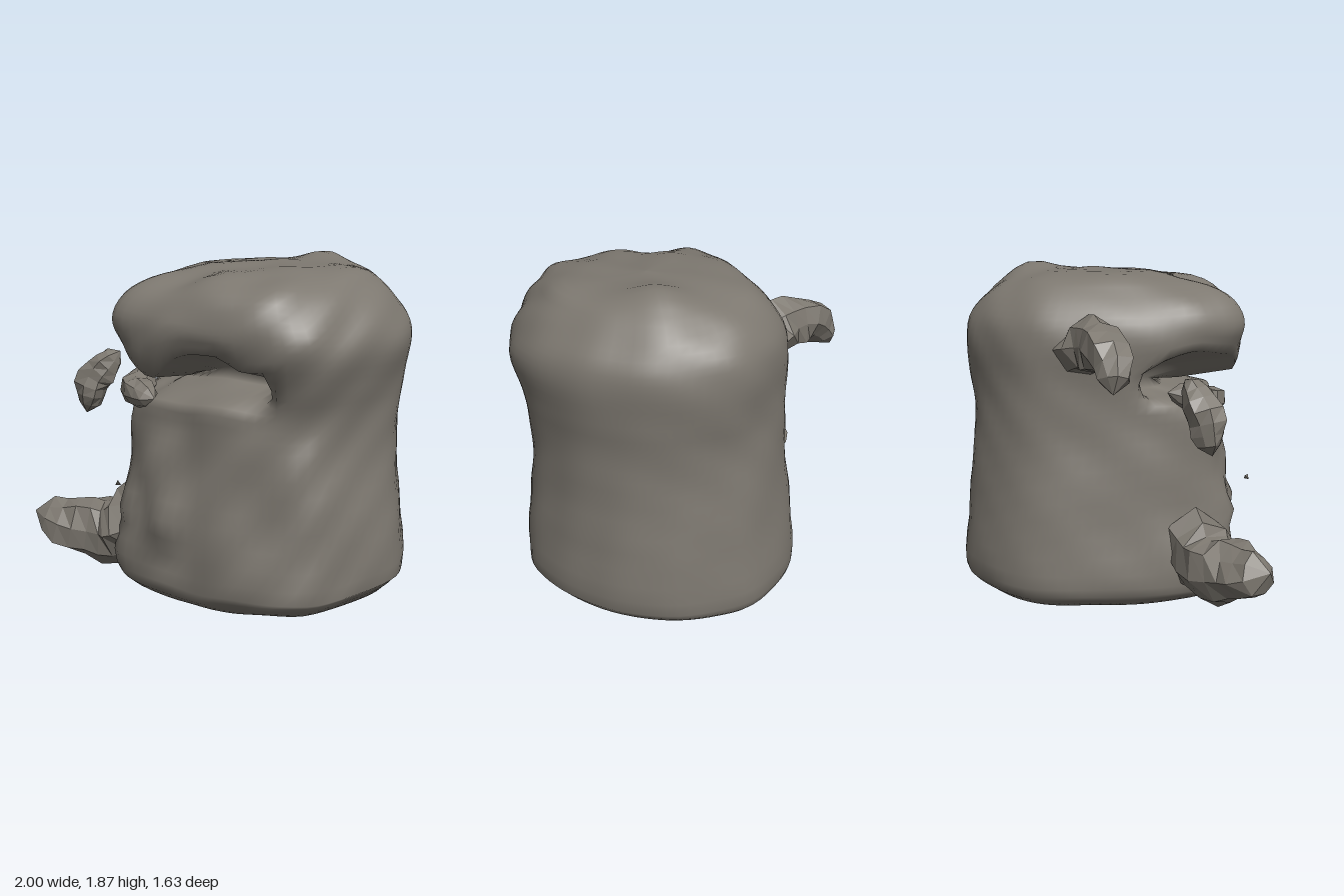
import * as THREE from 'three';

const { smoothstep: smooth, lerp } = THREE.MathUtils;
const material = (flat) => new THREE.MeshStandardMaterial({ color: 0x7d7870, flatShading: flat, side: THREE.DoubleSide });
const vectors = (points) => points.map((p) => new THREE.Vector3(...p));

// Repeatable lumps
const lump = (x, y, z) =>
  0.6 * Math.sin(7 * x + 3 * y) * Math.sin(6 * y - 4 * z) + 0.5 * Math.sin(13 * z + 11 * y) * Math.sin(15 * x - 8 * y);
const bump = (x, y, cx, cy, r) => Math.exp(-((x - cx) ** 2 + (y - cy) ** 2) / (r * r));

// Skin consecutive closed rings of equal length
function skin(name, rings, flat) {
  const n = rings[0].length, index = [];
  for (let j = 0; j < rings.length - 1; j++) {
    for (let i = 0; i < n; i++) {
      const a = j * n + i, b = j * n + (i + 1) % n;
      index.push(a, a + n, b, b, a + n, b + n);
    }
  }
  const geo = new THREE.BufferGeometry();
  geo.setAttribute('position', new THREE.Float32BufferAttribute(rings.flat(2), 3));
  geo.setIndex(index);
  geo.computeVertexNormals();
  const mesh = new THREE.Mesh(geo, material(flat));
  mesh.name = name;
  return mesh;
}

// Plan outline, scaled to -1..1: round at the back and one side, squarer at the front
const outline = new THREE.CatmullRomCurve3(vectors([
  [1, 0, 0], [0.92, 0, 0.37], [0.71, 0, 0.78], [0.34, 0, 0.94], [-0.12, 0, 1], [-0.84, 0, 0.93],
  [-1, 0, 0.58], [-1, 0, 0], [-0.88, 0, -0.6], [-0.4, 0, -0.97], [-0.1, 0, -1], [0.24, 0, -0.94],
  [0.62, 0, -0.71], [0.88, 0, -0.38],
]), true).getSpacedPoints(80).slice(0, 80);

// Sample levels [y, x min, x max, z min, z max] along smooth side profiles
function sampleLevels(levels, perSpan) {
  const curve = (lo, hi) => new THREE.CatmullRomCurve3(
    vectors(levels.map((l) => [l[lo], l[0], l[hi]])), false, 'catmullrom');
  const steps = (levels.length - 1) * perSpan;
  const xs = curve(1, 2).getPoints(steps), zs = curve(3, 4).getPoints(steps);
  return xs.map((p, i) => ({ y: p.y, x0: p.x, x1: p.z, z0: zs[i].x, z1: zs[i].z }));
}

const inner = sampleLevels([
  [1.56, 0.25, 0.25, -0.21, -0.21],
  [1.42, -0.24, 0.78, -0.58, 0.12],
  [1.1, -0.34, 0.8, -0.6, 0.22],
  [0.92, -0.36, 0.8, -0.6, 0.54],
  [0.07, -0.39, 0.82, -0.63, 0.57],
], 3);

const outer = sampleLevels([
  [0.01, -0.49, 0.9, -0.71, 0.68],
  [0.13, -0.57, 0.98, -0.81, 0.76],
  [0.5, -0.53, 0.96, -0.78, 0.73],
  [0.85, -0.49, 0.925, -0.745, 0.7],
  [1.08, -0.48, 0.93, -0.735, 0.68],
  [1.25, -0.48, 0.96, -0.75, 0.73],
  [1.45, -0.5, 1, -0.765, 0.81],
  [1.6, -0.47, 0.94, -0.73, 0.8],
  [1.73, -0.36, 0.82, -0.61, 0.69],
  [1.81, -0.2, 0.68, -0.42, 0.38],
  [1.845, 0.25, 0.25, -0.02, -0.02],
], 4);

// Wavy lower edge of the lip above the mouth
const lipEdge = (x) => 0.07 - 0.15 * bump(x, 0, -0.1, 0, 0.18) - 0.07 * smooth(x, 0.3, 0.5);

function bodyRing({ y: level, x0, x1, z0, z1 }, isOuter) {
  const depth = isOuter ? smooth(level, 1.11, 1.24) * (1 - smooth(level, 1.27, 1.35)) : 0;
  const lip = isOuter ? smooth(level, 1.22, 1.33) * (1 - smooth(level, 1.36, 1.58)) : 0;
  return outline.map(({ x: u, z: w }) => {
    // The front corner is trimmed, more so inside
    const trim = 1 - (isOuter ? 0.07 : 0.17) * Math.max(0, -u) * Math.max(0, w);
    let x = lerp(x0, x1, (u * trim + 1) / 2), z = lerp(z0, z1, (w * trim + 1) / 2);
    // The mouth cuts into the front and round that corner
    const front = smooth(z, 0.12, 0.5) * (1 - smooth(x, 0.42, 0.6));
    let y = level + lip * lipEdge(x) * front;
    if (level < 0.1) y += 0.04 * Math.max(0, x);
    const rough = 0.022 * lump(x, y, z) * (0.5 + 0.7 * smooth(z, 0, 0.6));
    z -= 0.42 * depth * front;
    x += 0.17 * depth * front * smooth(-x, 0.15, 0.45);
    if (isOuter && w > 0.5) z += 0.07 * bump(x, y, 0, 0.47, 0.13) + 0.07 * bump(x, y, -0.34, 0.5, 0.1);
    if (level > 1.72) y += 0.06 * bump(x, z, 0.33, -0.38, 0.16);
    return [x + u * rough, Math.max(0, y + rough * 0.8), Math.min(0.82, z + w * rough)];
  });
}

// Ragged piece along a path; a stub tapers at its far end, a loose lump at both ends
function ragged(name, path, radius, isStub) {
  const curve = new THREE.CatmullRomCurve3(vectors(path));
  const steps = 8, sides = 8, frames = curve.computeFrenetFrames(steps);
  const rings = [];
  for (let j = 0; j <= steps; j++) {
    const t = j / steps, c = curve.getPointAt(t);
    const r = radius * (isStub ? (1 - 0.4 * t) * Math.sqrt(1 - t ** 6) : Math.sqrt(Math.max(0, Math.sin(Math.PI * t))));
    rings.push(Array.from({ length: sides }, (_, i) => {
      const a = -i / sides * Math.PI * 2;
      const d = r * (1 + 0.22 * Math.sin(i * 2.4 + j * 1.9) * Math.cos(i * 1.3 - j * 2.7));
      const p = c.clone().addScaledVector(frames.normals[j], Math.cos(a) * d)
        .addScaledVector(frames.binormals[j], Math.sin(a) * d);
      return [Math.max(-1, p.x), Math.max(0.01, p.y), Math.min(0.82, p.z)];
    }));
  }
  return skin(name, rings, true);
}

export function createModel() {
  const group = new THREE.Group();
  group.name = 'wornVessel';

  // One skin from the inner ceiling down, round the rim and up the outside
  const rings = [...inner.map((l) => bodyRing(l, false)), ...outer.map((l) => bodyRing(l, true))];
  group.add(skin('hollowBody', rings, false));

  // Broken handle
  group.add(
    ragged('upperHandleStub', [[-0.42, 1.44, -0.13], [-0.68, 1.47, -0.07], [-0.84, 1.36, -0.04], [-0.89, 1.27, -0.05]], 0.16, true),
    ragged('looseHandlePiece', [[-0.63, 1.3, 0.36], [-0.76, 1.15, 0.43], [-0.81, 0.93, 0.47]], 0.1, false),
    ragged('lowerHandleStub', [[-0.42, 0.32, 0.46], [-0.6, 0.26, 0.51], [-0.8, 0.29, 0.63], [-1, 0.36, 0.74]], 0.22, true),
  );

  // Lump at the corner of the mouth
  group.add(ragged('mouthCornerLump', [[-0.46, 1.2, 0.3], [-0.36, 1.13, 0.54], [-0.15, 1.12, 0.64]], 0.09, false));

  // Small chip off the front
  const chip = new THREE.Mesh(new THREE.TetrahedronGeometry(0.02), material(true));
  chip.position.set(-0.29, 0.67, 0.8);
  chip.name = 'chip';
  group.add(chip);
  return group;
}
